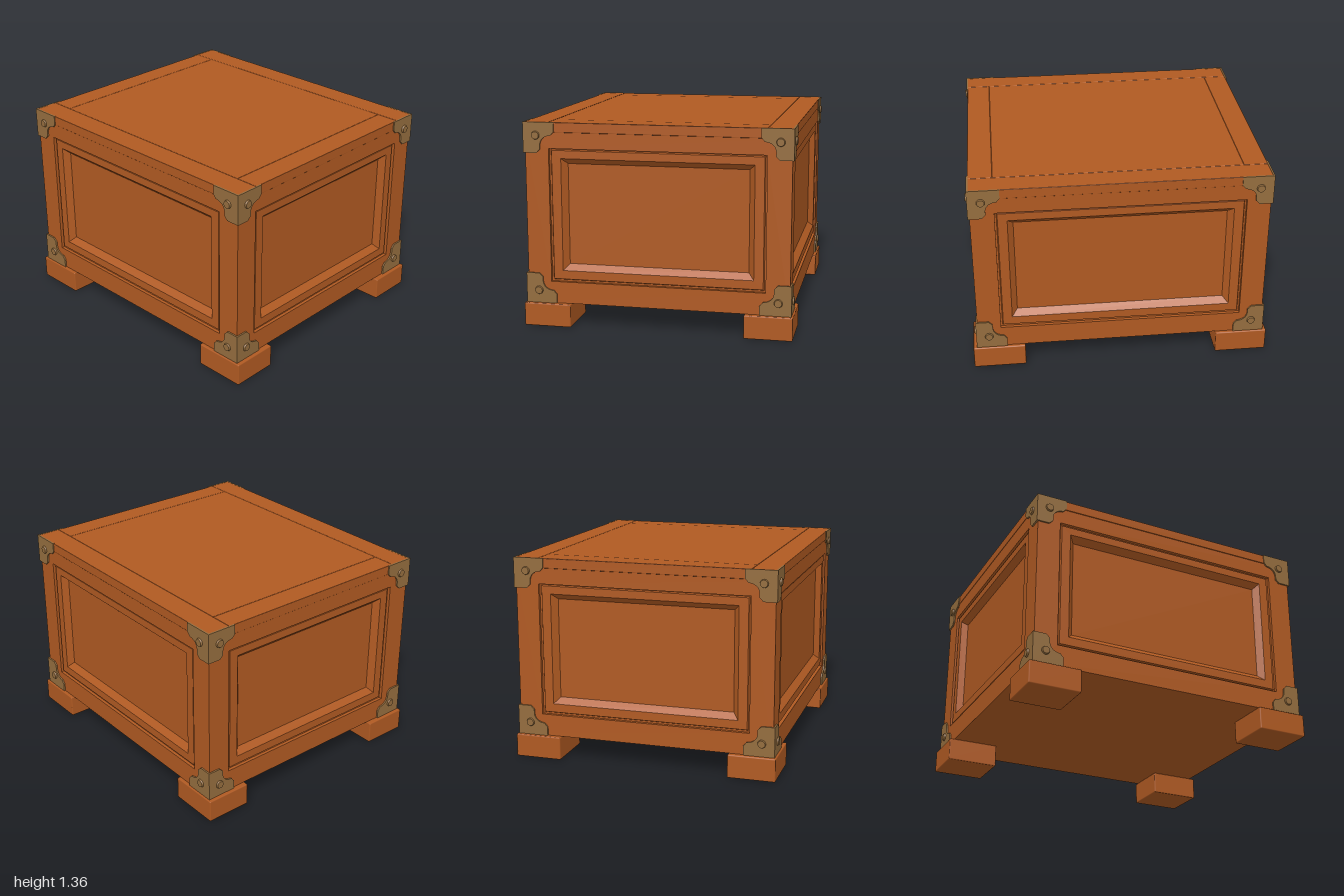
import * as THREE from 'three';
import { RoundedBoxGeometry } from 'three/addons/geometries/RoundedBoxGeometry.js';

const wood = new THREE.MeshStandardMaterial({ color: 0xb05a22 });
wood.name = 'wood';
const brass = new THREE.MeshStandardMaterial({ color: 0x946d3e });
brass.name = 'agedBrass';

const X = 0.965, Z = 0.867, BOTTOM = 0.155, TOP = 1.355, LID = 1.29;
const MID = (BOTTOM + TOP) / 2, HALF = (TOP - BOTTOM) / 2;

function add(parent, name, geometry, material, x = 0, y = 0, z = 0) {
  const mesh = new THREE.Mesh(geometry, material);
  mesh.name = name;
  mesh.position.set(x, y, z);
  parent.add(mesh);
  return mesh;
}

// Framed wall facing +z: nested rectangles joined ring by ring
function wallGeometry(w) {
  const rings = [ // half width, lower y, upper y, depth
    [w, BOTTOM, LID, 0],
    [w - 0.157, 0.3, 1.185, 0],
    [w - 0.157, 0.3, 1.185, -0.022],
    [w - 0.168, 0.312, 1.178, -0.022],
    [w - 0.174, 0.318, 1.172, -0.01],
    [w - 0.235, 0.375, 1.12, -0.01],
    [w - 0.272, 0.415, 1.083, -0.05],
  ].map(([h, a, b, z]) => [[-h, a, z], [h, a, z], [h, b, z], [-h, b, z]]);
  const pos = [];
  const quad = (a, b, c, d) => pos.push(...a, ...b, ...c, ...a, ...c, ...d);
  for (let i = 0; i < rings.length - 1; i++) {
    for (let k = 0; k < 4; k++) {
      const n = (k + 1) % 4;
      quad(rings[i][k], rings[i][n], rings[i + 1][n], rings[i + 1][k]);
    }
  }
  quad(...rings[rings.length - 1]);
  const g = new THREE.BufferGeometry();
  g.setAttribute('position', new THREE.Float32BufferAttribute(pos, 3));
  g.computeVertexNormals();
  return g;
}

// Bracket plate with a scooped inner corner; o is its outer edge
function plateGeometry(o) {
  const s = new THREE.Shape();
  s.moveTo(o, HALF + 0.001);
  s.lineTo(o - 0.206, HALF + 0.001);
  s.lineTo(o - 0.206, HALF - 0.06);
  s.lineTo(o - 0.185, HALF - 0.085);
  s.quadraticCurveTo(o - 0.12, HALF - 0.09, o - 0.113, HALF - 0.145);
  s.lineTo(o - 0.113, HALF - 0.175);
  s.lineTo(o - 0.088, HALF - 0.2);
  s.lineTo(o, HALF - 0.2);
  s.closePath();
  return new THREE.ExtrudeGeometry(s, { depth: 0.012, bevelEnabled: false, curveSegments: 6 });
}

export function createModel() {
  const root = new THREE.Group();
  root.name = 'woodenChest';

  // Four panelled walls
  const front = wallGeometry(X), side = wallGeometry(Z);
  for (let i = 0; i < 4; i++) {
    const pivot = new THREE.Group();
    pivot.name = ['frontWall', 'leftWall', 'backWall', 'rightWall'][i];
    pivot.rotation.y = i * Math.PI / 2;
    add(pivot, 'framedPanel', i % 2 ? side : front, wood, 0, 0, i % 2 ? X : Z);
    root.add(pivot);
  }
  add(root, 'floor', new THREE.BoxGeometry(2 * X, 0.02, 2 * Z), wood, 0, BOTTOM + 0.01, 0);

  // Lid planks with eased edges that read as seams
  const h = TOP - LID, y = (TOP + LID) / 2;
  const plank = (name, w, d, x, z) =>
    add(root, name, new RoundedBoxGeometry(w, h, d, 1, 0.004), wood, x, y, z);
  for (const s of [-1, 1]) {
    plank('lidCrossPlank', 1.94, 0.162, 0, s * 0.791);
    plank('lidEndPlank', 0.158, 1.42, s * 0.889, 0);
  }
  plank('lidPanel', 1.62, 1.42, 0, 0);

  // Feet
  const foot = new RoundedBoxGeometry(0.35, 0.155, 0.316, 1, 0.008);
  for (const sx of [-1, 1]) for (const sz of [-1, 1]) {
    add(root, 'foot', foot, wood, sx * 0.825, 0.0775, sz * 0.732);
  }

  // Corner brackets, mirrored to all eight corners
  const frontPlate = plateGeometry(0.976);
  const sidePlate = plateGeometry(0.878).rotateY(-Math.PI / 2);
  const rivetFront = new THREE.CylinderGeometry(0.024, 0.03, 0.018, 20).rotateX(Math.PI / 2);
  const rivetSide = new THREE.CylinderGeometry(0.024, 0.03, 0.018, 20).rotateZ(-Math.PI / 2);
  for (const sx of [-1, 1]) for (const sy of [-1, 1]) for (const sz of [-1, 1]) {
    const corner = new THREE.Group();
    corner.name = 'cornerBracket';
    corner.position.y = MID;
    corner.scale.set(sx, sy, sz);
    add(corner, 'frontPlate', frontPlate, brass, 0, 0, 0.866);
    add(corner, 'sidePlate', sidePlate, brass, 0.976, 0, 0);
    add(corner, 'frontRivet', rivetFront, brass, 0.89, HALF - 0.085, 0.88);
    add(corner, 'sideRivet', rivetSide, brass, 0.978, HALF - 0.085, 0.793);
    root.add(corner);
  }
  return root;
}
